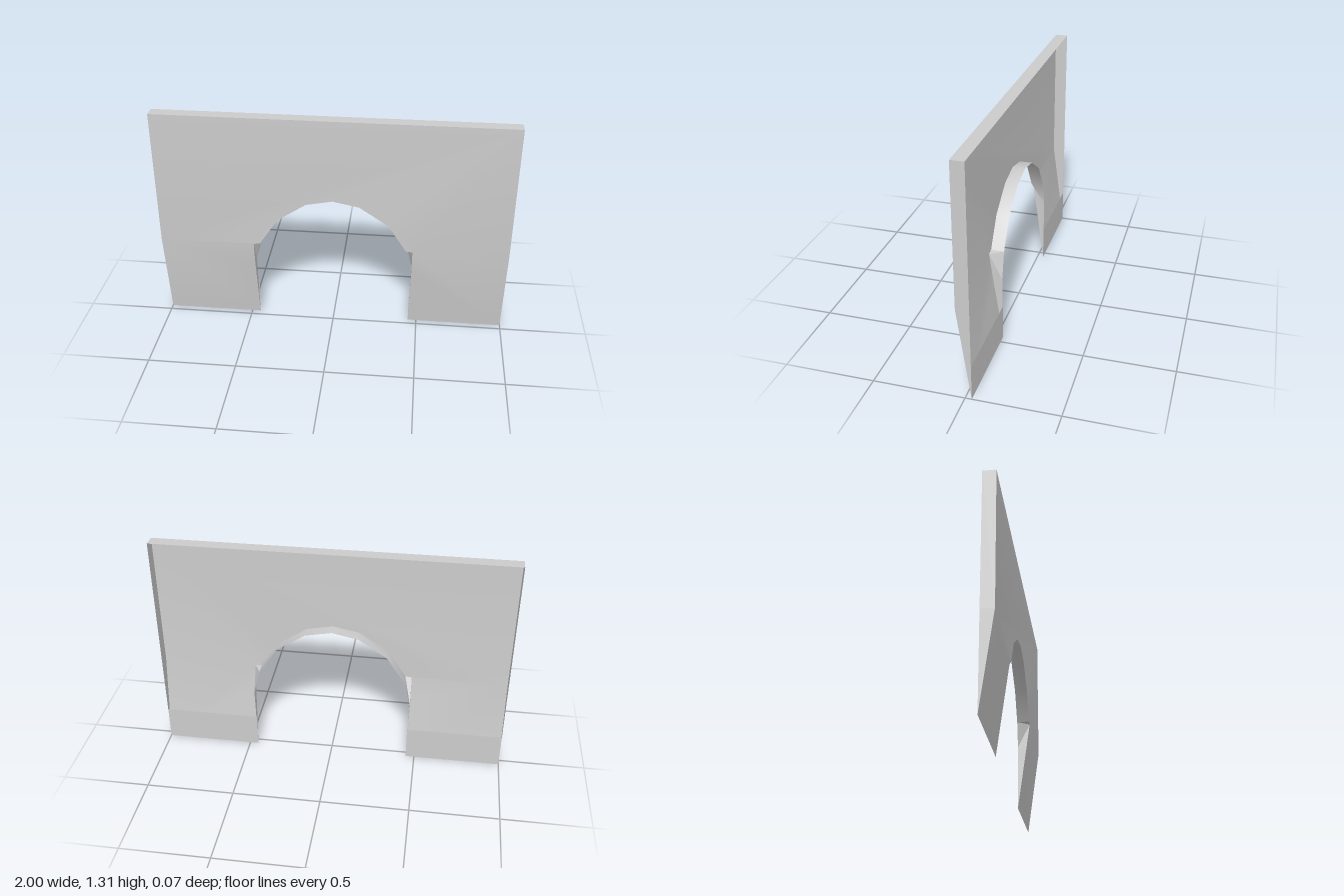
import * as THREE from 'three';
import { mergeGeometries, toCreasedNormals } from 'three/addons/utils/BufferGeometryUtils.js';

const DEPTH = 0.036, TOP = 1.31, BEND = 0.525, FOOT = 0.45;

// Front sheet is upright above the bend and slopes to the back plane below it
const frontZ = (y) => (y >= BEND ? DEPTH : -DEPTH + (2 * DEPTH * y) / BEND);

// Sheet cut from a flat outline, bent to the front surface
function frontSheet(points) {
  const g = new THREE.ShapeGeometry(new THREE.Shape(points.map(([x, y]) => new THREE.Vector2(x, y))));
  const p = g.attributes.position;
  for (let i = 0; i < p.count; i++) p.setZ(i, frontZ(p.getY(i)));
  return g;
}

// Strip joining a path on the front surface to a path on the back plane
function rimStrip(front, back) {
  const pos = [];
  for (let i = 0; i < front.length - 1; i++) {
    const [f0, f1] = [front[i], front[i + 1]].map(([x, y]) => new THREE.Vector3(x, y, frontZ(y)));
    const [b0, b1] = [back[i], back[i + 1]].map(([x, y]) => new THREE.Vector3(x, y, -DEPTH));
    for (const t of [[f0, f1, b1], [f0, b1, b0]]) {
      if (new THREE.Triangle(...t).getArea() > 1e-6) t.forEach((v) => pos.push(v.x, v.y, v.z));
    }
  }
  const g = new THREE.BufferGeometry();
  g.setAttribute('position', new THREE.Float32BufferAttribute(pos, 3));
  g.computeVertexNormals();
  return g;
}

const mirror = (pts) => pts.map(([x, y]) => [-x, y]).reverse();

export function createModel() {
  const group = new THREE.Group();
  const material = new THREE.MeshStandardMaterial({ color: 0xcccccc, side: THREE.DoubleSide });
  const add = (name, geometry) => {
    const mesh = new THREE.Mesh(toCreasedNormals(geometry, 0.5), material);
    mesh.name = name;
    group.add(mesh);
    return mesh;
  };

  // Arch: legs, with a small notch at the front, and a faceted crown
  const legFront = [[FOOT, 0], [0.457, 0.38], [0.457, BEND]];
  const legBack = [[FOOT, 0], [0.457, 0.38], [0.457, 0.38]];
  const halfCrown = [[0.42, 0.53], [0.315, 0.69], [0.15, 0.8]];
  const crown = [...halfCrown, [0, 0.83], ...mirror(halfCrown)];

  // Front wall: spandrel above the bend and two sloping legs
  const rightLeg = [...legFront, [1, BEND], [1, 0]];
  add('frontWall', mergeGeometries([
    frontSheet([[-1, BEND], [-0.457, BEND], ...[...crown].reverse(), [0.457, BEND], [1, BEND], [1, TOP], [-1, TOP]]),
    frontSheet(rightLeg),
    frontSheet(mirror(rightLeg)),
  ]));

  // Top and end walls
  const outer = [[-1, 0], [-1, BEND], [-1, TOP], [1, TOP], [1, BEND], [1, 0]];
  add('outerRim', rimStrip(outer, outer));

  // Lining of the archway
  add('archLining', rimStrip(
    [...legFront, ...crown, ...mirror(legFront)],
    [...legBack, ...crown, ...mirror(legBack)],
  ));

  // Low panels closing the foot of the open back
  for (const [name, s] of [['leftFootPanel', 1], ['rightFootPanel', -1]]) {
    const panel = add(name, new THREE.PlaneGeometry(1 - FOOT, 0.2).rotateY(Math.PI));
    panel.position.set((s * (1 + FOOT)) / 2, 0.1, -DEPTH);
  }
  return group;
}
